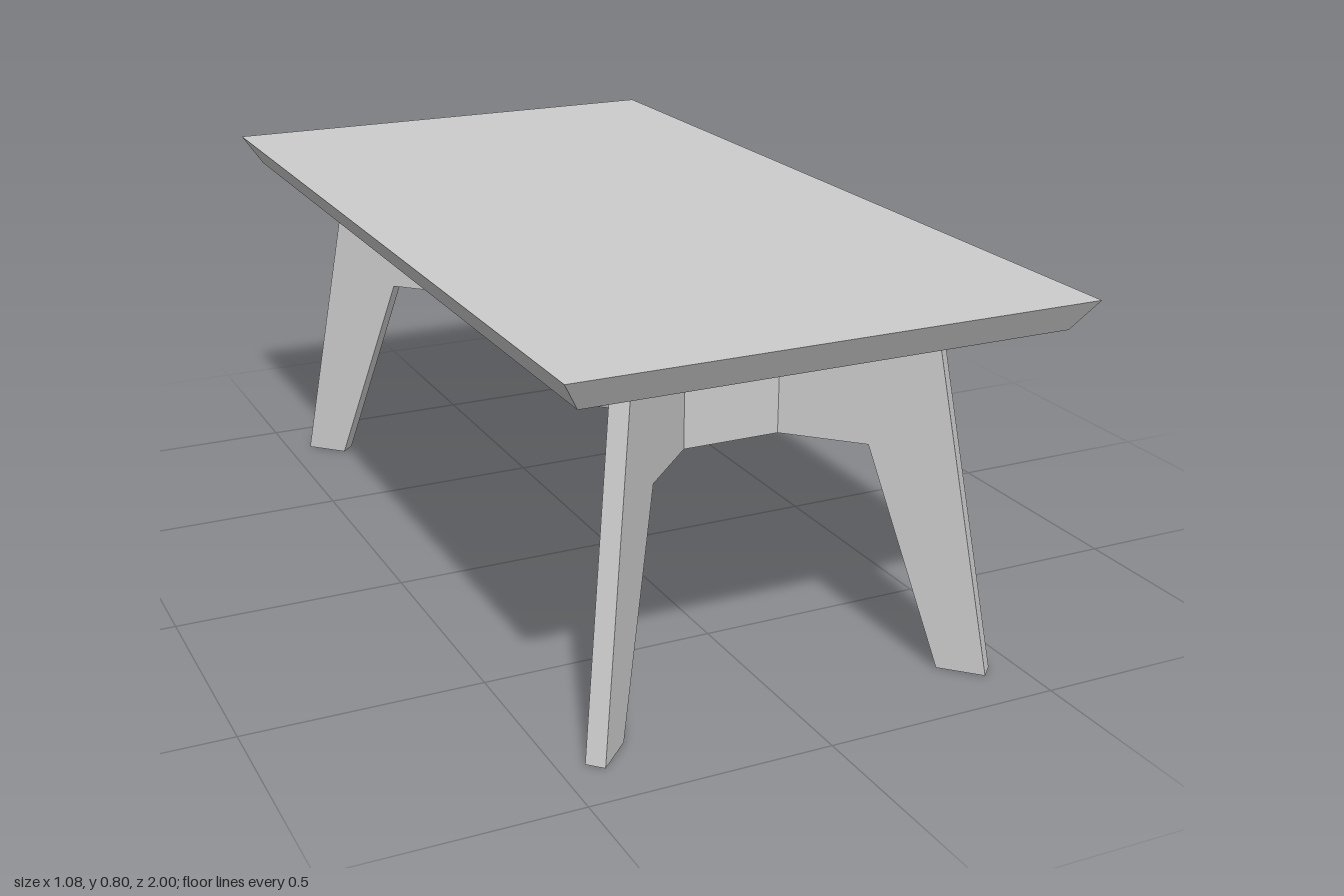
import * as THREE from 'three';

const material = new THREE.MeshStandardMaterial({ color: 0xcccccc, flatShading: true });

function addMesh(parent, name, geometry) {
  const mesh = new THREE.Mesh(geometry, material);
  mesh.name = name;
  parent.add(mesh);
  return mesh;
}

const shapeFrom = (points) => new THREE.Shape(points.map(([x, y]) => new THREE.Vector2(x, y)));

// Lower and upper edge of the rail, end panels and leg arms
const LOW = 0.462;
const HIGH = 0.673;

export function createModel() {
  const table = new THREE.Group();
  table.name = 'table';

  // Tabletop: a slab whose underside is drawn in to bevel the edges
  const top = new THREE.BoxGeometry(1.08, 0.063, 2);
  const pos = top.attributes.position;
  for (let i = 0; i < pos.count; i++) {
    if (pos.getY(i) < 0) {
      pos.setX(i, Math.sign(pos.getX(i)) * 0.5);
      pos.setZ(i, Math.sign(pos.getZ(i)) * 0.962);
    }
  }
  top.computeVertexNormals();
  addMesh(table, 'tabletop', top).position.y = 0.7685;

  // Single rail along the middle, joining the two end panels
  const rail = new THREE.BoxGeometry(0.04, HIGH - LOW, 1.09);
  addMesh(table, 'centreRail', rail).position.y = (LOW + HIGH) / 2;

  // End panels, mitred where the legs join
  const panel = shapeFrom([[-0.105, -0.582], [0.105, -0.582], [0.126, -0.545], [-0.126, -0.545]]);
  const panelGeometry = new THREE.ExtrudeGeometry(panel, { depth: HIGH - LOW, bevelEnabled: false });
  panelGeometry.rotateX(-Math.PI / 2);

  // Leg panel with its arm, cut flat and stood on the diagonal at each corner
  const leg = shapeFrom([
    [-0.012, LOW], [0.184, LOW], [0.344, 0], [0.443, 0],
    [0.304, 0.738], [0.184, 0.738], [0.184, HIGH], [-0.012, HIGH],
  ]);
  const legGeometry = new THREE.ExtrudeGeometry(leg, { depth: 0.04, bevelEnabled: false });
  legGeometry.translate(0, 0, -0.02);

  for (const sz of [1, -1]) {
    const end = sz > 0 ? 'front' : 'back';
    const endPanel = addMesh(table, end + 'Panel', panelGeometry);
    endPanel.position.y = LOW;
    endPanel.rotation.y = sz > 0 ? 0 : Math.PI;
    for (const sx of [1, -1]) {
      const mesh = addMesh(table, end + (sx > 0 ? 'Left' : 'Right') + 'Leg', legGeometry);
      mesh.position.set(sx * 0.119, 0, sz * 0.568);
      mesh.rotation.y = Math.atan2(-sz, sx);
    }
  }
  return table;
}
